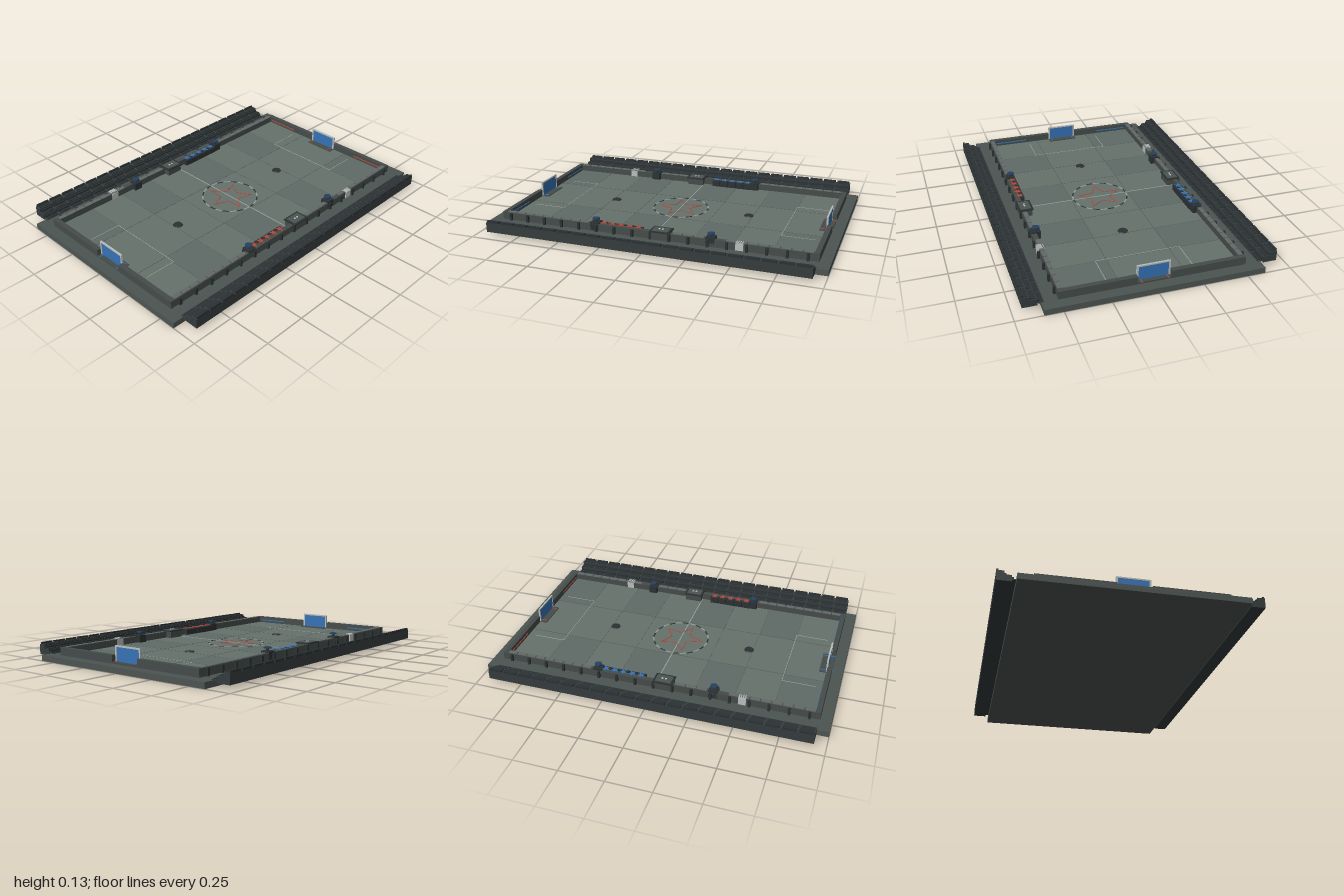
import * as THREE from 'three';

const mat = (color, extra = {}) => new THREE.MeshStandardMaterial({ color, ...extra });
const M = {
  base: mat(0x4c5451), wall: mat(0x454c4a), cap: mat(0x616966), dark: mat(0x2b3133),
  seat: mat(0x353c3d), floor: mat(0x66716c), floorAlt: mat(0x5f6a66), seam: mat(0x4f5855),
  line: mat(0x98a19d), pale: mat(0xb9bfbd), blue: mat(0x3672b5), red: mat(0xb0483a), navy: mat(0x26405f),
};
const FLOOR = 0.038, WALL_TOP = 0.078;

function add(parent, name, geometry, material, x = 0, y = 0, z = 0) {
  const mesh = new THREE.Mesh(geometry, material);
  mesh.name = name;
  mesh.position.set(x, y, z);
  parent.add(mesh);
  return mesh;
}

// Box given by its limits on each axis
function box(parent, name, material, x0, x1, y0, y1, z0, z1) {
  return add(parent, name, new THREE.BoxGeometry(x1 - x0, y1 - y0, z1 - z0), material,
    (x0 + x1) / 2, (y0 + y1) / 2, (z0 + z1) / 2);
}

const marking = (parent, name, material, x0, x1, z0, z1) =>
  box(parent, name, material, x0, x1, FLOOR, FLOOR + 0.0015, z0, z1);

function starPoints(r) {
  return Array.from({ length: 10 }, (_, i) => {
    const a = Math.PI + i * Math.PI / 5, k = i % 2 ? r * 0.45 : r;
    return new THREE.Vector2(Math.cos(a) * k, Math.sin(a) * k);
  });
}

function flatStar(r, hole, depth) {
  const shape = new THREE.Shape(starPoints(r));
  if (hole) shape.holes.push(new THREE.Path(starPoints(hole)));
  return new THREE.ExtrudeGeometry(shape, { depth, bevelEnabled: false }).rotateX(-Math.PI / 2);
}

function flatRing(r0, r1, start, sweep) {
  const shape = new THREE.Shape();
  shape.absarc(0, 0, r1, start, start + sweep, false);
  shape.absarc(0, 0, r0, start + sweep, start, true);
  return new THREE.ExtrudeGeometry(shape, { depth: 0.0015, bevelEnabled: false, curveSegments: 6 })
    .rotateX(-Math.PI / 2);
}

// Three stepped rows of seats behind the back wall
function bleachers(parent) {
  const stand = new THREE.Group();
  stand.name = 'bleachers';
  parent.add(stand);
  const rows = [[0.585, 0.62, 0.03, 0.036], [0.62, 0.658, 0.02, 0.056], [0.658, 0.698, 0.02, 0.077]];
  const count = 21, step = 1.87 / count;
  for (const [near, far, bottom, top] of rows) {
    box(stand, 'standStep', M.seat, -0.935, 0.935, bottom, top, -far, -near);
    for (let i = 0; i < count; i++) {
      const x = -0.935 + i * step;
      box(stand, 'seatCushion', M.dark, x + 0.008, x + step - 0.008, top, top + 0.004, -far + 0.012, -near - 0.006);
      box(stand, 'seatBack', M.dark, x + 0.006, x + step - 0.006, top, top + 0.012, -far, -far + 0.01);
    }
  }
}

// Backboard, pad, markings and short walls at the -x end
function goalEnd(parent, team) {
  const end = new THREE.Group();
  end.name = 'goalEnd';
  parent.add(end);
  box(end, 'goalPad', M.wall, -0.937, -0.865, 0.03, 0.042, -0.093, 0.093);
  box(end, 'backboardPanel', M.blue, -0.912, -0.906, 0.042, 0.12, -0.083, 0.083);
  box(end, 'backboardTopRail', M.pale, -0.914, -0.904, 0.12, 0.128, -0.093, 0.093);
  for (const s of [-1, 1]) {
    const z = (a, b) => s > 0 ? [a, b] : [-b, -a];
    box(end, 'backboardPost', M.pale, -0.914, -0.904, 0.04, 0.12, ...z(0.083, 0.093));
    box(end, 'padStripe', team, -0.945, -0.868, 0.042, 0.045, ...z(0.07, 0.075));
    box(end, 'endWall', M.wall, -0.938, -0.91, 0.03, WALL_TOP, ...z(0.093, 0.513));
    box(end, 'teamStripe', team, -0.912, -0.906, 0.052, 0.058, ...z(0.26, 0.47));
    marking(end, 'goalAreaSide', M.line, -0.87, -0.676, ...z(0.239, 0.243));
  }
  marking(end, 'goalAreaFront', M.line, -0.68, -0.676, -0.243, 0.243);
  add(end, 'faceOffSpot', new THREE.CylinderGeometry(0.026, 0.029, 0.005, 24), M.dark, -0.43, FLOOR + 0.0025, 0);
}

// Long wall at -z with its ribs, team bench, table and steps
function sideWall(parent, team) {
  const side = new THREE.Group();
  side.name = 'sideWall';
  parent.add(side);
  box(side, 'longWall', M.wall, -0.938, 0.938, 0.03, 0.076, -0.513, -0.485);
  for (let i = 0; i < 17; i++) {
    const x = -0.88 + i * 0.11;
    box(side, 'wallRib', M.dark, x - 0.007, x + 0.007, 0.033, 0.075, -0.526, -0.512);
  }
  for (const [from, to] of [[-0.91, -0.43], [-0.31, -0.12], [0.38, 0.91]]) {
    const n = Math.round((to - from) / 0.06), w = (to - from) / n;
    for (let i = 0; i < n; i++) {
      box(side, 'wallCap', M.cap, from + i * w + 0.003, from + (i + 1) * w - 0.003, 0.076, 0.079, -0.509, -0.483);
    }
  }
  // Bench with five seats, each carrying a star
  const star = flatStar(0.024, 0, 0.003);
  for (let i = 0; i < 5; i++) {
    const x = 0.085 + i * 0.053;
    box(side, 'benchSeat', M.dark, x - 0.025, x + 0.025, FLOOR, 0.074, -0.508, -0.458);
    add(side, 'seatStar', star, team, x, 0.074 + 0.003, -0.483).rotation.y = -Math.PI / 2;
  }
  // Corner posts with floating discs
  for (const x of [-0.343, 0.343]) {
    box(side, 'beaconBase', M.dark, x - 0.026, x + 0.026, FLOOR, 0.084, -0.513, -0.461);
    add(side, 'beaconStem', new THREE.CylinderGeometry(0.008, 0.008, 0.016, 16), M.dark, x, 0.09, -0.485);
    add(side, 'beaconDisc', new THREE.CylinderGeometry(0.021, 0.021, 0.007, 24), M.navy, x, 0.101, -0.485);
  }
  // Official's table
  box(side, 'tableBody', M.wall, -0.105, -0.002, 0.033, 0.078, -0.522, -0.448);
  box(side, 'tableTop', M.dark, -0.112, 0.004, 0.078, 0.084, -0.528, -0.442);
  box(side, 'tableInset', M.base, -0.1, -0.008, 0.084, 0.086, -0.517, -0.453);
  for (const x of [-0.064, -0.044]) {
    add(side, 'tableButton', new THREE.CylinderGeometry(0.006, 0.006, 0.004, 12), M.pale, x, 0.088, -0.485);
  }
  // Pale slatted gate through the wall
  box(side, 'gate', M.pale, -0.532, -0.488, 0.036, 0.077, -0.52, -0.48);
  for (let i = 0; i < 4; i++) {
    const x = -0.53 + i * 0.0115;
    box(side, 'gateSlat', M.pale, x, x + 0.006, 0.077, 0.082, -0.522, -0.49);
  }
}

export function createModel() {
  const model = new THREE.Group();
  model.name = 'arena';

  // Base slab and playing floor
  box(model, 'baseSlab', M.base, -1, 1, 0, 0.033, -0.6, 0.6);
  box(model, 'floor', M.floor, -0.912, 0.912, 0.033, FLOOR, -0.487, 0.487);
  const xs = [-0.91, -0.68, -0.454, -0.227, 0, 0.227, 0.454, 0.68, 0.91];
  const zs = [-0.485, -0.18, 0.18, 0.485];
  for (let i = 0; i < 8; i++) {
    for (let j = 0; j < 3; j++) {
      if ((i * 2 + j * 3) % 4 === 0) {
        box(model, 'floorTile', M.floorAlt, xs[i], xs[i + 1], FLOOR, FLOOR + 0.0005, zs[j], zs[j + 1]);
      }
    }
  }
  for (const x of xs.slice(1, -1)) {
    box(model, 'floorSeam', M.seam, x - 0.001, x + 0.001, FLOOR, FLOOR + 0.0008, -0.485, 0.485);
  }
  for (const z of zs.slice(1, -1)) {
    box(model, 'floorSeam', M.seam, -0.91, 0.91, FLOOR, FLOOR + 0.0008, z - 0.0015, z + 0.0015);
  }

  // Centre line, dashed circle and star outline
  marking(model, 'centreLine', M.line, -0.003, 0.003, -0.485, 0.485);
  const dashes = 24, turn = Math.PI * 2 / dashes;
  for (let i = 0; i < dashes; i++) {
    add(model, 'centreCircleDash', flatRing(0.163, 0.171, i * turn, turn * 0.82), i % 2 ? M.line : M.dark, 0, FLOOR, 0);
  }
  add(model, 'centreStar', flatStar(0.135, 0.122, 0.002), M.red, 0, FLOOR, 0);

  // Two identical halves, turned about the centre
  for (const [name, team, angle] of [['blueHalf', M.blue, 0], ['redHalf', M.red, Math.PI]]) {
    const half = new THREE.Group();
    half.name = name;
    half.rotation.y = angle;
    goalEnd(half, team);
    sideWall(half, team);
    bleachers(half);
    model.add(half);
  }
  return model;
}
